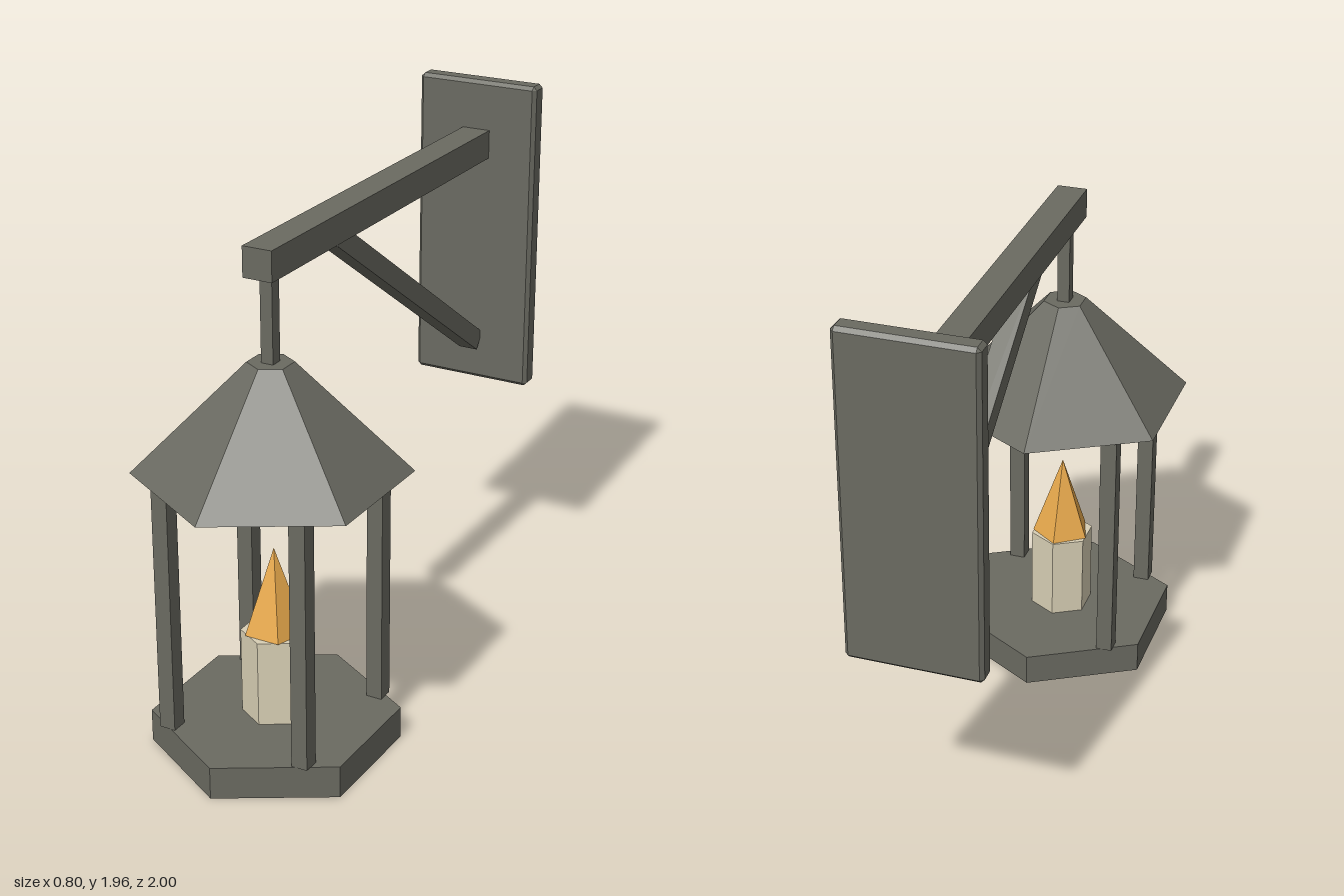
import * as THREE from 'three';
import { ConvexGeometry } from 'three/addons/geometries/ConvexGeometry.js';

const LANTERN_Z = 0.54;

// Box with every edge cut by a flat chamfer of size b
function chamferBox(w, h, d, b) {
  const points = [];
  for (const sx of [-1, 1]) for (const sy of [-1, 1]) for (const sz of [-1, 1]) {
    for (let axis = 0; axis < 3; axis++) {
      const inset = [0, 1, 2].map((i) => (i === axis ? 0 : b));
      points.push(new THREE.Vector3(
        sx * (w / 2 - inset[0]), sy * (h / 2 - inset[1]), sz * (d / 2 - inset[2])));
    }
  }
  return new ConvexGeometry(points);
}

export function createModel() {
  const material = (name, color) => {
    const m = new THREE.MeshStandardMaterial({ color, flatShading: true });
    m.name = name;
    return m;
  };
  const iron = material('darkIron', 0x6a6a61);
  const wax = material('candleWax', 0xd8cfb5);
  const fire = material('flameOrange', 0xe8a94c);

  const model = new THREE.Group();
  model.name = 'wallLantern';

  const add = (parent, name, geometry, mat, x, y, z) => {
    const mesh = new THREE.Mesh(geometry, mat);
    mesh.name = name;
    mesh.position.set(x, y, z);
    parent.add(mesh);
    return mesh;
  };
  // Faceted upright solid standing between y0 and y1
  const prism = (name, rTop, rBottom, y0, y1, sides, mat) =>
    add(lantern, name, new THREE.CylinderGeometry(rTop, rBottom, y1 - y0, sides), mat, 0, (y0 + y1) / 2, 0);

  // Wall bracket: plate, arm and diagonal brace
  add(model, 'wallPlate', chamferBox(0.46, 1.15, 0.075, 0.013), iron, 0, 1.385, -0.9625);
  add(model, 'arm', new THREE.BoxGeometry(0.106, 0.104, 1.545), iron, 0, 1.729, -0.1605);
  const brace = add(model, 'brace', new THREE.BoxGeometry(0.072, 0.072, 1.294), iron, 0, 1.327, -0.386);
  brace.rotation.x = -0.597;

  // Hanging lantern
  const lantern = new THREE.Group();
  lantern.name = 'lantern';
  lantern.position.z = LANTERN_Z;
  model.add(lantern);

  add(lantern, 'hangingRod', new THREE.BoxGeometry(0.044, 0.32, 0.044), iron, 0, 1.53, 0);
  prism('roof', 0.077, 0.461, 1.0, 1.383, 6, iron);
  prism('base', 0.422, 0.422, 0, 0.115, 6, iron);

  for (const sx of [-1, 1]) for (const sz of [-1, 1]) {
    add(lantern, 'post', new THREE.BoxGeometry(0.058, 0.885, 0.058), iron, sx * 0.254, 0.5575, sz * 0.254);
  }

  prism('candle', 0.115, 0.115, 0.115, 0.423, 6, wax);

  // Five-sided flame with a flat face to the front
  const flame = add(lantern, 'flame', new THREE.ConeGeometry(0.108, 0.303, 5), fire, 0, 0.5745, 0);
  flame.rotation.y = Math.PI;

  return model;
}
